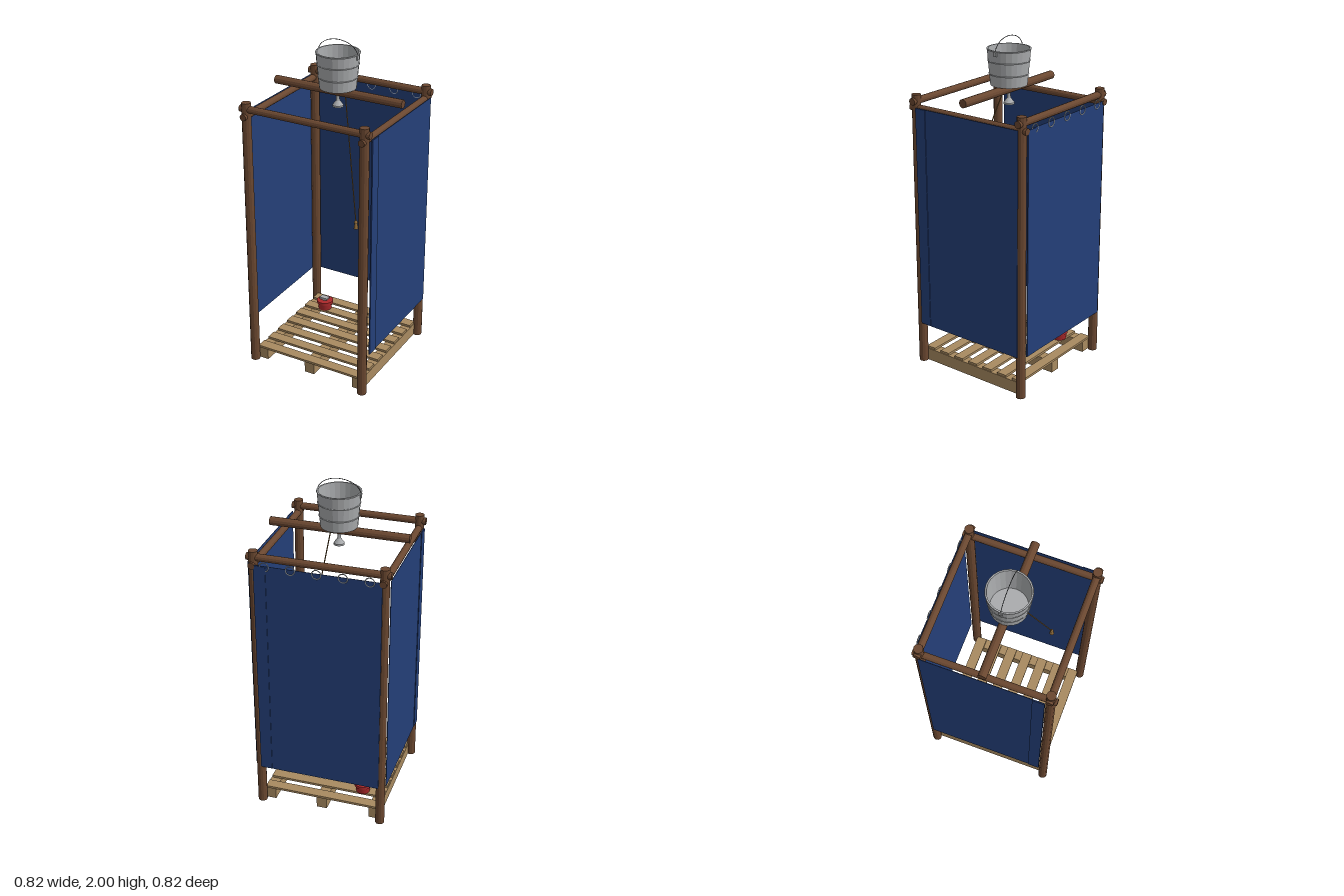
import * as THREE from 'three';

const mat = (name, color, side = THREE.FrontSide, flatShading = false) => {
  const m = new THREE.MeshStandardMaterial({ color, side, flatShading });
  m.name = name;
  return m;
};

export function createModel() {
  const log = mat('dark log wood', 0x6a4730, THREE.FrontSide, true);
  const plank = mat('pallet wood', 0xa88a60);
  const cloth = mat('blue tarpaulin', 0x243f78, THREE.DoubleSide);
  const metal = mat('galvanised metal', 0xaaacae, THREE.DoubleSide, true);
  const wire = mat('dark wire', 0x5c5f62);
  const steel = mat('ring steel', 0xc4c8cb);
  const red = mat('red enamel', 0xab292b);
  const ropeMat = mat('rope', 0x8d6a3a);

  const root = new THREE.Group();
  root.name = 'campShower';
  const add = (name, geo, material, x = 0, y = 0, z = 0, parent = root) => {
    const m = new THREE.Mesh(geo, material);
    m.name = name;
    m.position.set(x, y, z);
    parent.add(m);
    return m;
  };
  const box = (w, h, d) => new THREE.BoxGeometry(w, h, d);
  const lathe = (pts, n) => new THREE.LatheGeometry(pts.map(p => new THREE.Vector2(...p)), n);

  // Log frame: posts, rails and the beam that carries the bucket
  const P = 0.372;
  for (const sx of [-1, 1]) for (const sz of [-1, 1])
    add('post', new THREE.CylinderGeometry(0.027, 0.028, 1.68, 12), log, sx * P, 0.84, sz * P);
  for (const s of [-1, 1]) {
    add('crossRail', new THREE.CylinderGeometry(0.021, 0.021, 0.82, 12), log, 0, 1.642, s * P).rotation.z = Math.PI / 2;
    add('sideRail', new THREE.CylinderGeometry(0.02, 0.02, 0.82, 12), log, s * P, 1.602, 0).rotation.x = Math.PI / 2;
  }
  add('bucketBeam', new THREE.CylinderGeometry(0.025, 0.025, 0.82, 12), log, 0, 1.694, 0).rotation.z = Math.PI / 2;

  // Pallet: three bearers under seven slats
  for (const x of [-0.327, 0, 0.327]) add('palletBearer', box(0.064, 0.076, 0.7), plank, x, 0.038, 0);
  for (let i = -3; i <= 3; i++) add('palletSlat', box(0.71, 0.014, 0.064), plank, 0, 0.083, i * 0.1092);

  // Tarpaulin walls: sheet with a slightly raised fold along one edge
  const wall = (name, angle, foldSide, near, far) => {
    const g = new THREE.Group();
    g.name = name;
    const c = (near - far) / 2 * foldSide;
    add('sheet', box(near + far, 1.345, 0.003), cloth, c, 0.9375, 0.404, g);
    add('edgeFold', box(0.07, 1.34, 0.004), cloth, foldSide * (near - 0.036), 0.9375, 0.4075, g);
    g.rotation.y = angle;
    root.add(g);
  };
  wall('backCurtain', Math.PI, -1, 0.362, 0.367);
  wall('leftCurtain', Math.PI / 2, -1, 0.35, 0.37);
  wall('rightCurtain', -Math.PI / 2, 1, 0.35, 0.37);

  // Curtain rings along the back
  for (let i = -2; i <= 2; i++)
    add('curtainRing', new THREE.TorusGeometry(0.026, 0.003, 6, 20), steel, i * 0.149, 1.604, -0.405);

  // Bucket with ribs, floor and rolled rim
  const bucket = new THREE.Group();
  bucket.name = 'bucket';
  root.add(bucket);
  add('bucketShell', lathe([[0, 1.72], [0.106, 1.72], [0.112, 1.785], [0.119, 1.86], [0.125, 1.93],
    [0.117, 1.93], [0.104, 1.735], [0, 1.735]], 24), metal, 0, 0, 0, bucket);
  for (const [y, r] of [[1.785, 0.112], [1.86, 0.119], [1.926, 0.124]])
    add('bucketRib', new THREE.TorusGeometry(r, 0.0035, 6, 24), metal, 0, y, 0, bucket).rotation.x = Math.PI / 2;
  const arc = [];
  for (let i = 0; i <= 16; i++) {
    const a = Math.PI * i / 16;
    arc.push(new THREE.Vector3(0.126 * Math.cos(a), 1.915 + 0.083 * Math.sin(a), 0));
  }
  add('bucketHandle', new THREE.TubeGeometry(new THREE.CatmullRomCurve3(arc), 32, 0.002, 6), wire, 0, 0, 0, bucket);
  for (const s of [-1, 1]) add('handleLug', box(0.008, 0.024, 0.02), metal, s * 0.125, 1.912, 0, bucket);

  // Shower head on a short pipe
  add('showerHead', lathe([[0, 1.605], [0.031, 1.605], [0.031, 1.615], [0.012, 1.64], [0.01, 1.65],
    [0.01, 1.725]], 16), metal);

  // Valve lever and pull rope
  const top = new THREE.Vector3(0.05, 1.685, 0.004), end = new THREE.Vector3(0.222, 1.01, 0.185);
  add('valveLever', box(0.055, 0.006, 0.008), metal, 0.027, 1.685, 0.004);
  add('pullRope', new THREE.TubeGeometry(new THREE.LineCurve3(top, end), 1, 0.0035, 6), ropeMat);
  add('ropeKnot', new THREE.SphereGeometry(0.011, 10, 8), ropeMat, 0.223, 1.005, 0.186);
  add('ropeTassel', new THREE.CylinderGeometry(0.008, 0.014, 0.035, 8), ropeMat, 0.224, 0.985, 0.187);

  // Red pot with a metal cap
  const pot = new THREE.Group();
  pot.name = 'pot';
  pot.position.set(-0.223, 0.09, -0.223);
  root.add(pot);
  add('potBody', new THREE.CylinderGeometry(0.047, 0.041, 0.042, 24), red, 0, 0.021, 0, pot);
  add('potLid', new THREE.CylinderGeometry(0.052, 0.052, 0.018, 24), red, 0, 0.05, 0, pot);
  add('capNeck', new THREE.CylinderGeometry(0.014, 0.014, 0.012, 12), metal, -0.003, 0.063, 0.002, pot);
  add('cap', box(0.052, 0.013, 0.036), metal, -0.003, 0.073, 0.002, pot);

  return root;
}
